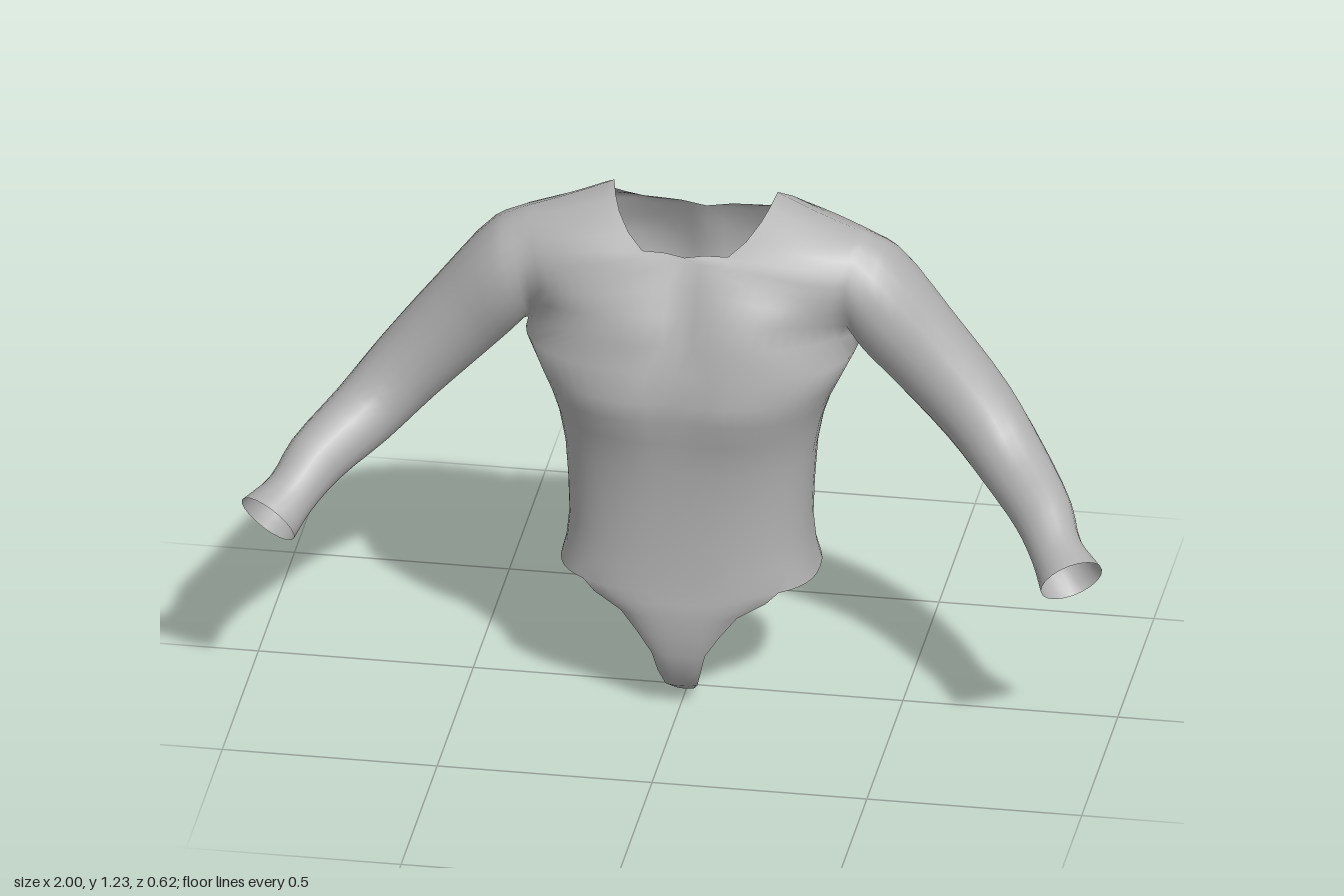
import * as THREE from 'three';
import { mergeVertices } from 'three/addons/utils/BufferGeometryUtils.js';

const V = (p) => new THREE.Vector3(...p);
const HALF = 24; // columns from centre front round to centre back
const SIDE = HALF / 2;
const ROWS = 10; // rows from armpit to shoulder ridge
const gauss = (d, w) => Math.exp(-((d / w) ** 2));
const spow = (v, p) => Math.sign(v) * Math.abs(v) ** p;

// torso levels: height, half width, front z, back z, side z
const LEVELS = [
  [0.31, 0.3, 0.15, -0.245, -0.05], [0.36, 0.287, 0.147, -0.228, -0.05],
  [0.43, 0.28, 0.142, -0.218, -0.05], [0.52, 0.283, 0.142, -0.228, -0.05],
  [0.62, 0.29, 0.147, -0.25, -0.05], [0.7, 0.305, 0.165, -0.268, -0.055],
  [0.76, 0.325, 0.183, -0.28, -0.06], [0.81, 0.35, 0.187, -0.288, -0.07],
  [0.88, 0.385, 0.167, -0.297, -0.08],
];

// yoke rows from armpit up to shoulder: [inner edge, middle, armhole edge]
const RIDGE = [[0.19, 1.235, -0.11], [0.29, 1.2, -0.09], [0.4, 1.16, -0.085]];
const FRONT = [
  [[0, 0.88, 0.15], [0.2, 0.88, 0.14], [0.385, 0.88, -0.08]],
  [[0, 1.0, 0.105], [0.2, 1.0, 0.115], [0.368, 0.96, 0.0]],
  [[0, 1.13, 0.05], [0.2, 1.07, 0.075], [0.368, 1.04, 0.035]],
  [[0.1, 1.135, 0.04], [0.25, 1.12, 0.045], [0.377, 1.1, 0.02]],
  [[0.165, 1.195, -0.03], [0.28, 1.165, -0.01], [0.39, 1.145, -0.03]],
  RIDGE,
];
const BACK = [
  [[0, 0.88, -0.285], [0.2, 0.88, -0.275], [0.385, 0.88, -0.08]],
  [[0, 1.0, -0.28], [0.2, 1.0, -0.3], [0.365, 0.96, -0.17]],
  [[0, 1.11, -0.255], [0.2, 1.08, -0.275], [0.365, 1.04, -0.205]],
  [[0.13, 1.12, -0.257], [0.25, 1.12, -0.25], [0.377, 1.1, -0.19]],
  [[0.23, 1.17, -0.205], [0.31, 1.15, -0.19], [0.39, 1.145, -0.14]],
  RIDGE,
];

// sleeve rings: underside point, top point, front-to-back radius
const SLEEVE = [
  [[0.4, 0.875, -0.08], [0.47, 1.12, -0.085], 0.125],
  [[0.47, 0.8, -0.08], [0.6, 0.965, -0.08], 0.105],
  [[0.6, 0.67, -0.06], [0.73, 0.8, -0.065], 0.095],
  [[0.705, 0.575, 0.0], [0.81, 0.7, 0.0], 0.082],
  [[0.8, 0.52, 0.12], [0.895, 0.625, 0.12], 0.068],
  [[0.85, 0.475, 0.2], [0.935, 0.565, 0.2], 0.06],
  [[0.88, 0.43, 0.255], [0.99, 0.53, 0.255], 0.078],
];

// lower panel from front hem, under, to back hem: y, z, half width, groove depth
const PANEL = [
  [0.31, 0.15, 0.227, 0], [0.285, 0.155, 0.2, 0], [0.25, 0.158, 0.135, 0],
  [0.2, 0.156, 0.095, 0], [0.15, 0.15, 0.062, 0], [0.1, 0.135, 0.05, 0],
  [0.05, 0.1, 0.037, 0], [0.018, 0.05, 0.022, 0], [0.004, 0, 0.009, 0],
  [0.004, -0.06, 0.006, 0], [0.018, -0.15, 0.012, 0], [0.05, -0.215, 0.028, 0.004],
  [0.09, -0.262, 0.05, 0.012], [0.14, -0.295, 0.08, 0.02], [0.19, -0.31, 0.125, 0.025],
  [0.24, -0.302, 0.185, 0.022], [0.28, -0.272, 0.215, 0.012], [0.31, -0.245, 0.227, 0],
];

function torsoRing([y, hw, zf, zb, zm]) {
  const ring = [];
  for (let j = 0; j <= HALF; j++) {
    const t = (Math.PI * j) / HALF;
    const x = j % HALF ? hw * Math.sin(t) ** 0.8 : 0;
    const c = j === SIDE ? 0 : spow(Math.cos(t), 0.8);
    let z = zm + c * (c > 0 ? zf - zm : zm - zb);
    // hollow between the chest halves, and along the spine
    if (c > 0) z -= 0.02 * gauss(x, 0.07) * gauss(y - 0.8, 0.11);
    else z += 0.014 * gauss(x, 0.05) * THREE.MathUtils.smoothstep(y, 0.4, 0.8);
    ring.push(new THREE.Vector3(x, y, z));
  }
  return ring;
}

// one half of the yoke, as rows running from the inner edge to the armhole
function yokeSheet(table, firstRow) {
  const tracks = [0, 1, 2].map((k) => new THREE.CatmullRomCurve3(table.map((r) => V(r[k])), false, 'catmullrom'));
  const rows = [firstRow];
  for (let i = 1; i <= ROWS; i++) {
    const [s, m, e] = tracks.map((c) => c.getPoint(i / ROWS));
    s.x = Math.max(0, i / ROWS <= 0.4 ? 0 : s.x);
    const ctrl = m.clone().multiplyScalar(2).addScaledVector(s, -0.5).addScaledVector(e, -0.5);
    rows.push(new THREE.QuadraticBezierCurve3(s, ctrl, e).getPoints(SIDE));
  }
  return rows;
}

// sleeve grown smoothly out of the armhole loop
function sleeveRows(armhole) {
  const n = armhole.length;
  const mids = SLEEVE.map(([b, t]) => V(b).add(V(t)).multiplyScalar(0.5));
  const rings = SLEEVE.map(([b, t, r], k) => {
    const up = V(t).sub(V(b)).multiplyScalar(0.5);
    const along = mids[Math.min(k + 1, mids.length - 1)].clone().sub(mids[Math.max(k - 1, 0)]);
    const front = along.cross(up).normalize();
    return armhole.map((_, i) => {
      const a = (2 * Math.PI * i) / n;
      return mids[k].clone().addScaledVector(up, -Math.cos(a)).addScaledVector(front, -r * Math.sin(a));
    });
  });
  const columns = armhole.map((p, i) => new THREE.CatmullRomCurve3([p, ...rings.map((r) => r[i])]).getPoints(21));
  columns.push(columns[0]);
  return columns[0].map((_, k) => columns.map((c) => c[k]));
}

function panelRows(hem) {
  const n = 6;
  return PANEL.map(([y, z, hw, groove]) => {
    const row = [];
    for (let i = n; i >= -n; i--) {
      const a = Math.abs(i);
      const edge = z > -0.03 ? hem[a] : hem[HALF - a];
      const centre = z > -0.03 ? hem[0] : hem[HALF];
      const s = hw / hem[n].x;
      const dz = (edge.z - centre.z) * Math.min(1, s);
      const x = Math.sign(i) * edge.x * (hw === 0.227 ? 1 : s);
      row.push(new THREE.Vector3(x, y, z + dz + (a === 0 ? groove : 0)));
    }
    return row;
  });
}

export function createModel() {
  const fabric = new THREE.MeshStandardMaterial({ color: 0xb0b0b0, side: THREE.DoubleSide });
  fabric.name = 'grey fabric';

  const torso = LEVELS.map(torsoRing);
  const top = torso[torso.length - 1];
  const front = yokeSheet(FRONT, top.slice(0, SIDE + 1));
  const back = yokeSheet(BACK, top.slice(SIDE).reverse());
  const armhole = [top[SIDE]];
  for (let i = 1; i <= ROWS; i++) armhole.push(back[i][SIDE]);
  for (let i = ROWS - 1; i > 0; i--) armhole.push(front[i][SIDE]);
  const sleeve = sleeveRows(armhole);

  // collect every part in one welded surface so shading flows across the seams
  const positions = [], index = [], parts = [];
  const addGrid = (rows) => {
    const base = positions.length / 3, w = rows[0].length;
    rows.forEach((r) => r.forEach((p) => positions.push(p.x, p.y, p.z)));
    for (let i = 0; i < rows.length - 1; i++) {
      for (let j = 0; j < w - 1; j++) {
        const a = base + i * w + j, d = a + w;
        index.push(a, a + 1, d + 1, a, d + 1, d);
      }
    }
  };
  const addPart = (name, ...grids) => {
    const start = index.length;
    grids.forEach(addGrid);
    parts.push([name, start, index.length]);
  };
  const reversed = (rows) => rows.map((r) => [...r].reverse());
  const mirror = (rows) => reversed(rows).map((r) => r.map((p) => new THREE.Vector3(-p.x, p.y, p.z)));
  const backOut = reversed(back);
  addPart('torso', torso, mirror(torso));
  addPart('shoulderYoke', front, mirror(front), backOut, mirror(backOut));
  addPart('leftSleeve', sleeve);
  addPart('rightSleeve', mirror(sleeve));
  addPart('lowerPanel', panelRows(torso[0]));

  let shell = new THREE.BufferGeometry();
  shell.setAttribute('position', new THREE.Float32BufferAttribute(positions, 3));
  shell.setIndex(index);
  shell = mergeVertices(shell, 1e-4);
  shell.computeVertexNormals();

  const group = new THREE.Group();
  group.name = 'bodysuit';
  const welded = Array.from(shell.index.array);
  for (const [name, start, end] of parts) {
    const geometry = new THREE.BufferGeometry();
    geometry.setAttribute('position', shell.attributes.position);
    geometry.setAttribute('normal', shell.attributes.normal);
    geometry.setIndex(welded.slice(start, end));
    const mesh = new THREE.Mesh(geometry, fabric);
    mesh.name = name;
    group.add(mesh);
  }
  return group;
}
